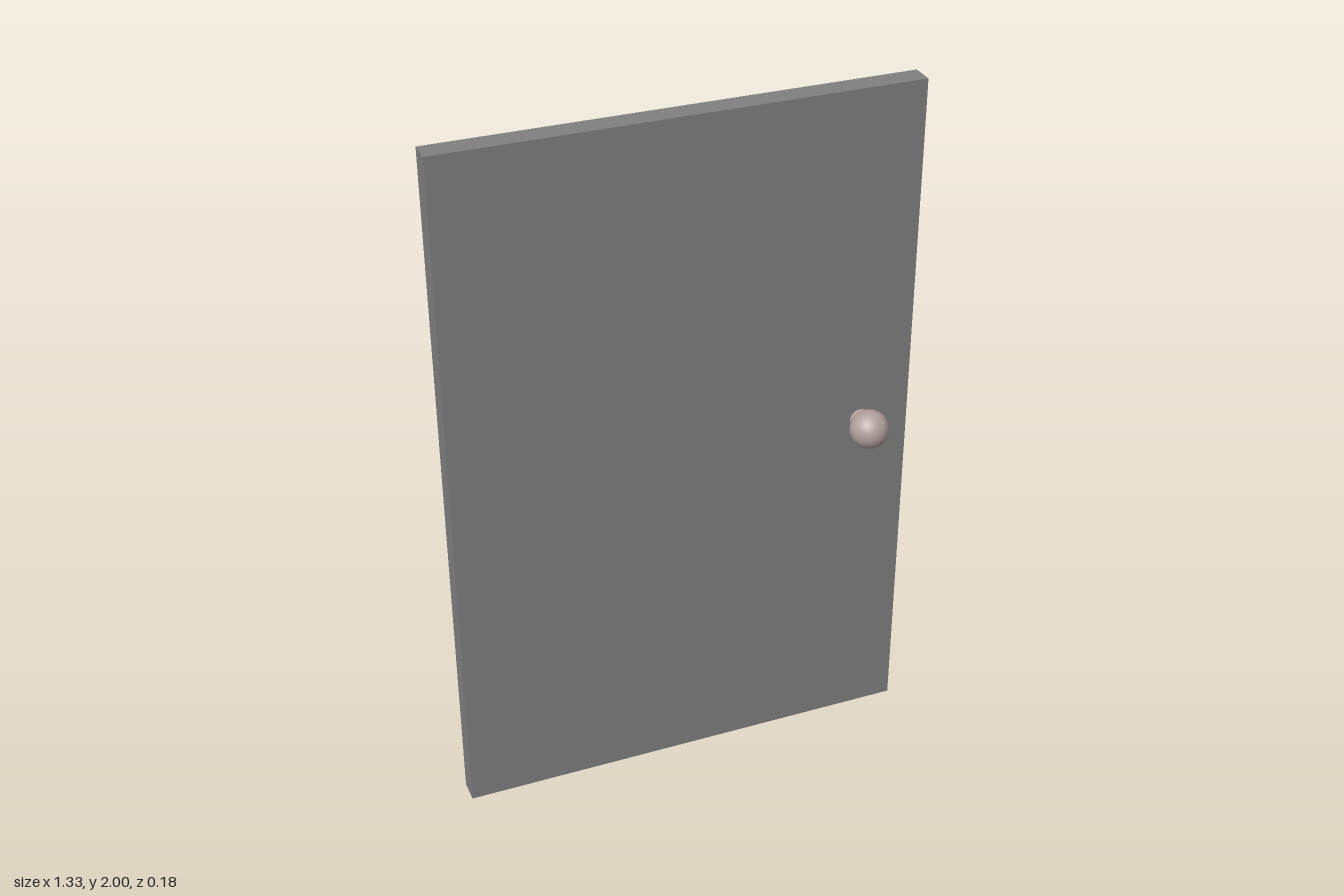
import * as THREE from 'three';

export function createModel() {
  const model = new THREE.Group();
  const doorMaterial = new THREE.MeshStandardMaterial({ color: 0x808080 });
  const knobMaterial = new THREE.MeshStandardMaterial({ color: 0xb0a09c });

  const add = (name, geometry, material, parent, x, y, z) => {
    const mesh = new THREE.Mesh(geometry, material);
    mesh.name = name;
    mesh.position.set(x, y, z);
    parent.add(mesh);
    return mesh;
  };

  // Plain slab standing on the floor
  add('doorPanel', new THREE.BoxGeometry(1.332, 2, 0.066), doorMaterial, model, 0, 1, -0.059);

  // Round knob on a short neck, near the left edge of the front face
  const handle = new THREE.Group();
  handle.name = 'doorKnob';
  handle.position.set(0.52, 1.017, -0.026);
  model.add(handle);

  const neck = new THREE.CylinderGeometry(0.03, 0.03, 0.04, 32).rotateX(Math.PI / 2);
  add('knobNeck', neck, knobMaterial, handle, 0, 0, 0.015);
  add('knobBall', new THREE.SphereGeometry(0.055, 32, 20), knobMaterial, handle, 0, 0, 0.062);

  return model;
}
